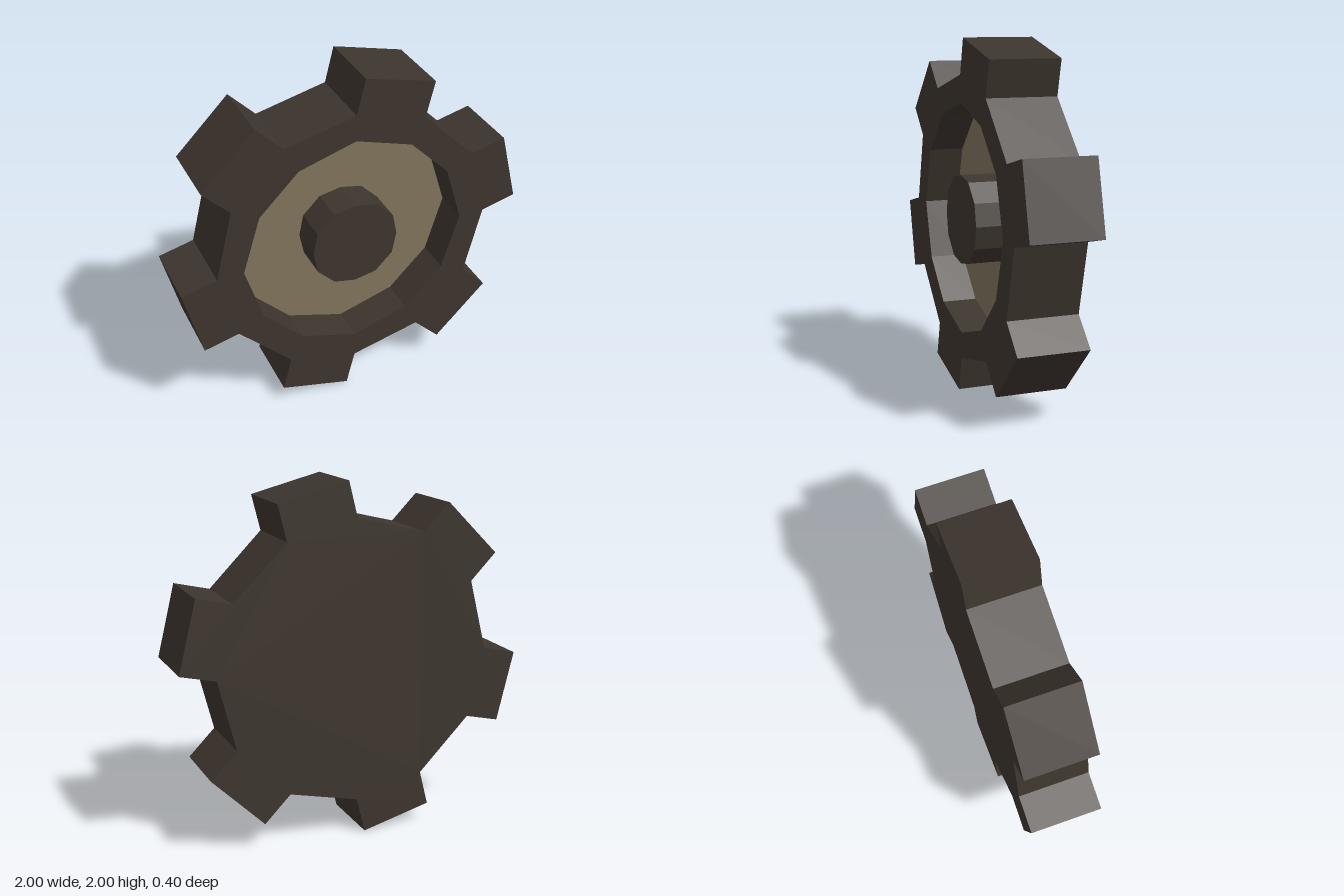
import * as THREE from 'three';

const FRONT = 0.2, FLOOR = 0, BACK = -0.2;

// Half of the toothed outline, clockwise from the top; the rest is a half turn of it
const HALF_OUTLINE = [
  [0.05, 1], [0.45, 0.9], [0.4, 0.7], [0.7, 0.4], [0.9, 0.45], [1, 0.05],
  [0.8, 0], [0.7, -0.4], [0.85, -0.55], [0.55, -0.85], [0.4, -0.7], [0, -0.8],
];

// Full counter-clockwise loop with half-turn symmetry
function outlineLoop() {
  return [...HALF_OUTLINE, ...HALF_OUTLINE.map(([x, y]) => [-x, -y])]
    .map(([x, y]) => new THREE.Vector2(x, y)).reverse();
}

// Twelve-sided loop, counter-clockwise: one quarter turned four times
function roundLoop(r, a, b) {
  const loop = [];
  let quarter = [[r, 0], [a, b], [b, a]];
  for (let i = 0; i < 4; i++) {
    loop.push(...quarter.map(([x, y]) => new THREE.Vector2(x, y)));
    quarter = quarter.map(([x, y]) => [-y, x]);
  }
  return loop;
}

// Flat-shaded band along a loop; a reversed loop faces inward
function wall(loop, z0, z1) {
  const pos = [];
  loop.forEach((a, i) => {
    const b = loop[(i + 1) % loop.length];
    pos.push(a.x, a.y, z0, b.x, b.y, z0, b.x, b.y, z1);
    pos.push(a.x, a.y, z0, b.x, b.y, z1, a.x, a.y, z1);
  });
  const geometry = new THREE.BufferGeometry();
  geometry.setAttribute('position', new THREE.Float32BufferAttribute(pos, 3));
  geometry.computeVertexNormals();
  return geometry;
}

// Flat face towards +z, with an optional hole
function face(loop, z, hole) {
  const shape = new THREE.Shape(loop);
  if (hole) shape.holes.push(new THREE.Path(hole));
  return new THREE.ShapeGeometry(shape).translate(0, 0, z);
}

export function createModel() {
  const darkMetal = new THREE.MeshStandardMaterial({ color: 0x3d352e, flatShading: true });
  darkMetal.name = 'darkMetal';
  const tanMetal = new THREE.MeshStandardMaterial({ color: 0x80735c, flatShading: true });
  tanMetal.name = 'tanMetal';

  const model = new THREE.Group();
  model.name = 'gear';
  const add = (name, geometry, material) => {
    const mesh = new THREE.Mesh(geometry, material);
    mesh.name = name;
    mesh.position.y = 1;
    model.add(mesh);
  };

  const outline = outlineLoop();
  const recess = roundLoop(0.65, 0.55, 0.325);
  const hub = roundLoop(0.25, 0.225, 0.125);

  // Toothed body
  add('toothedRim', wall(outline, BACK, FRONT), darkMetal);
  add('frontRing', face(outline, FRONT, recess), darkMetal);
  const mirrored = outline.map((p) => new THREE.Vector2(-p.x, p.y));
  add('backPlate', face(mirrored, -BACK).rotateY(Math.PI), darkMetal);

  // Recess sunk into the front
  add('recessWall', wall([...recess].reverse(), FLOOR, FRONT), darkMetal);
  add('recessFloor', face(recess, FLOOR, hub), tanMetal);

  // Hub rising from the recess floor, flush with the front
  add('hubSide', wall(hub, FLOOR, FRONT), darkMetal);
  add('hubCap', face(hub, FRONT), darkMetal);

  return model;
}
